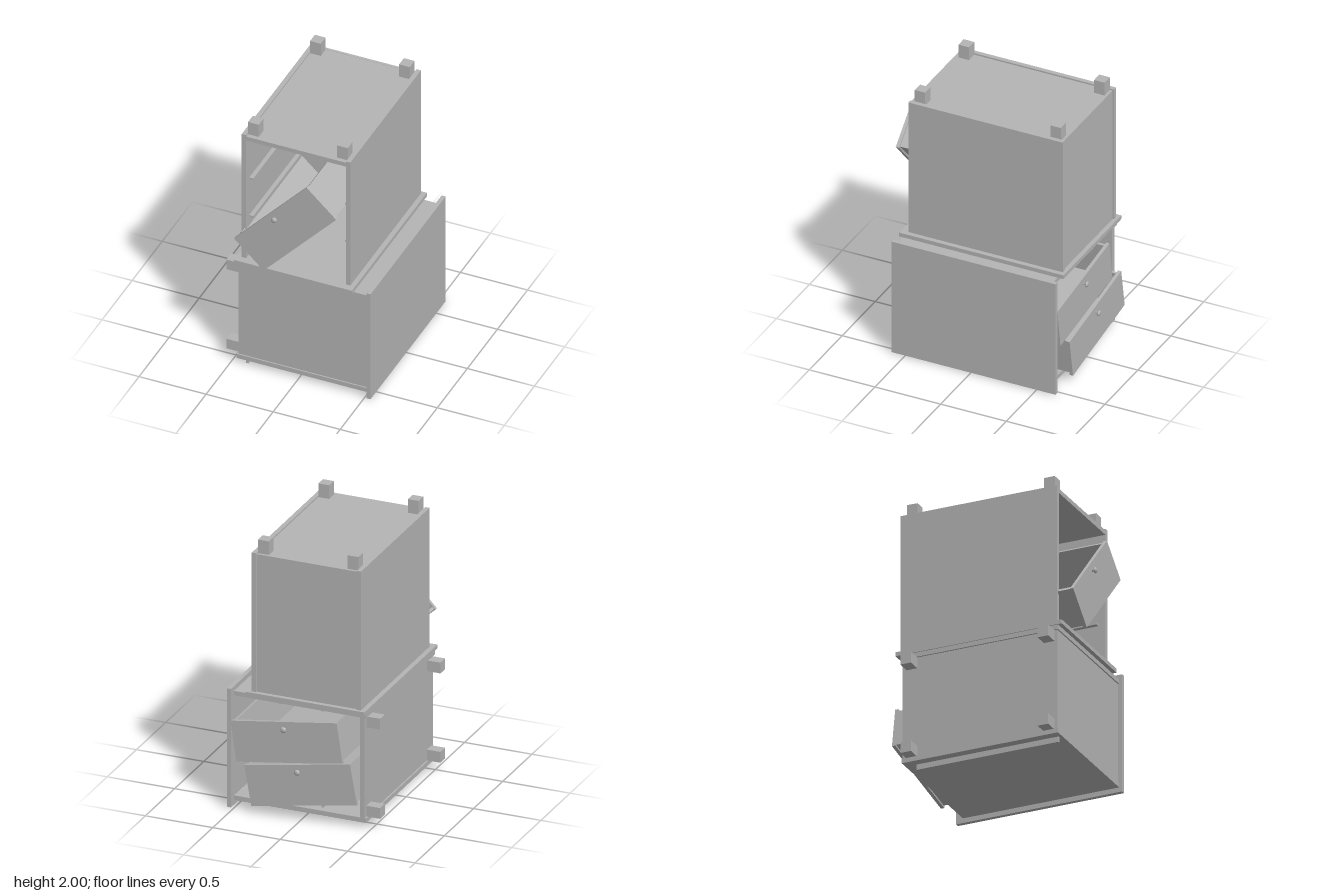
import * as THREE from 'three';

const grey = new THREE.MeshStandardMaterial({ color: 0xb4b4b4 });
grey.name = 'plain grey';

// Box given by its size and centre
function box(parent, name, w, h, d, x, y, z) {
  const mesh = new THREE.Mesh(new THREE.BoxGeometry(w, h, d), grey);
  mesh.name = name;
  mesh.position.set(x, y, z);
  parent.add(mesh);
  return mesh;
}

// Open cabinet; y = 0 is the underside of its tabletop, the opening faces +z
function cabinet(name, h) {
  const g = new THREE.Group();
  g.name = name;
  const W = 0.81, D = 1.175, T = 0.033;
  box(g, 'tabletop', 0.88, 0.03, 1.25, 0, 0.015, 0.015);
  box(g, 'bottomPanel', W - 2 * T, 0.033, D - 0.03, 0, -h + 0.028, 0.015);
  box(g, 'backPanel', W - 2 * T, h - 0.01, 0.02, 0, -h / 2 + 0.005, -D / 2 + 0.02);
  for (const s of [-1, 1]) {
    box(g, 'sidePanel', T, h, D, s * (W - T) / 2, -h / 2, 0);
    for (const y of [-0.32, -0.635]) {
      box(g, 'drawerRunner', 0.03, 0.015, 1.07, s * (W / 2 - T - 0.015), y, 0);
    }
    for (const z of [-0.516, 0.516]) {
      box(g, 'foot', 0.08, 0.11, 0.08, s * 0.332, -h - 0.035, z);
    }
  }
  return g;
}

// Drawer, open at the top; z = 0 is the outer face of its front
function drawer(name) {
  const g = new THREE.Group();
  g.name = name;
  const W = 0.775, H = 0.28, D = 1.05, T = 0.018, y = 0.003, z = -0.025 - D / 2;
  box(g, 'drawerFront', 0.797, 0.3, 0.025, 0, 0, -0.0125);
  box(g, 'drawerBottom', W, T, D, 0, y - H / 2 + T / 2, z);
  box(g, 'drawerBack', W, H, T, 0, y, -0.025 - D + T / 2);
  for (const s of [-1, 1]) box(g, 'drawerSide', T, H, D, s * (W - T) / 2, y, z);

  // Mushroom knob turned on a lathe
  const profile = [[0.008, 0], [0.007, 0.014], [0.018, 0.016], [0.022, 0.022],
    [0.019, 0.029], [0.01, 0.033], [0, 0.034]].map(([r, l]) => new THREE.Vector2(r, l));
  const knob = new THREE.Mesh(new THREE.LatheGeometry(profile, 20), grey);
  knob.name = 'knob';
  knob.rotation.x = Math.PI / 2;
  knob.position.set(0, 0.1, 0);
  g.add(knob);
  return g;
}

export function createModel() {
  const model = new THREE.Group();
  model.name = 'stackedNightstands';

  // Upper cabinet stands upside down
  const upper = cabinet('upperCabinet', 1.032);
  upper.rotation.z = Math.PI;
  upper.position.set(-0.028, 0.88, -0.03);
  model.add(upper);

  // Lower cabinet lies on its side, opening to the back
  const lower = cabinet('lowerCabinet', 0.98);
  lower.quaternion.setFromRotationMatrix(new THREE.Matrix4().makeBasis(
    new THREE.Vector3(0, 1, 0), new THREE.Vector3(1, 0, 0), new THREE.Vector3(0, 0, -1)));
  lower.position.set(0.518, 0.445, -0.008);
  model.add(lower);

  // Loose runner under the lower cabinet
  box(model, 'looseRunner', 0.017, 0.042, 1.07, -0.392, 0.021, 0.02);

  // Tilted drawers: name, x, y, z, turn about y, tilt in degrees
  for (const [name, x, y, z, turn, tilt] of [
    ['upperCabinetDrawer', -0.054, 1.306, 0.68, 0, 47.2],
    ['topBackDrawer', 0.105, 0.561, -0.65, Math.PI, 8.5],
    ['lowBackDrawer', -0.014, 0.277, -0.683, Math.PI, 10],
  ]) {
    const d = drawer(name);
    d.position.set(x, y, z);
    d.rotation.set(0, turn, THREE.MathUtils.degToRad(tilt));
    model.add(d);
  }
  return model;
}
